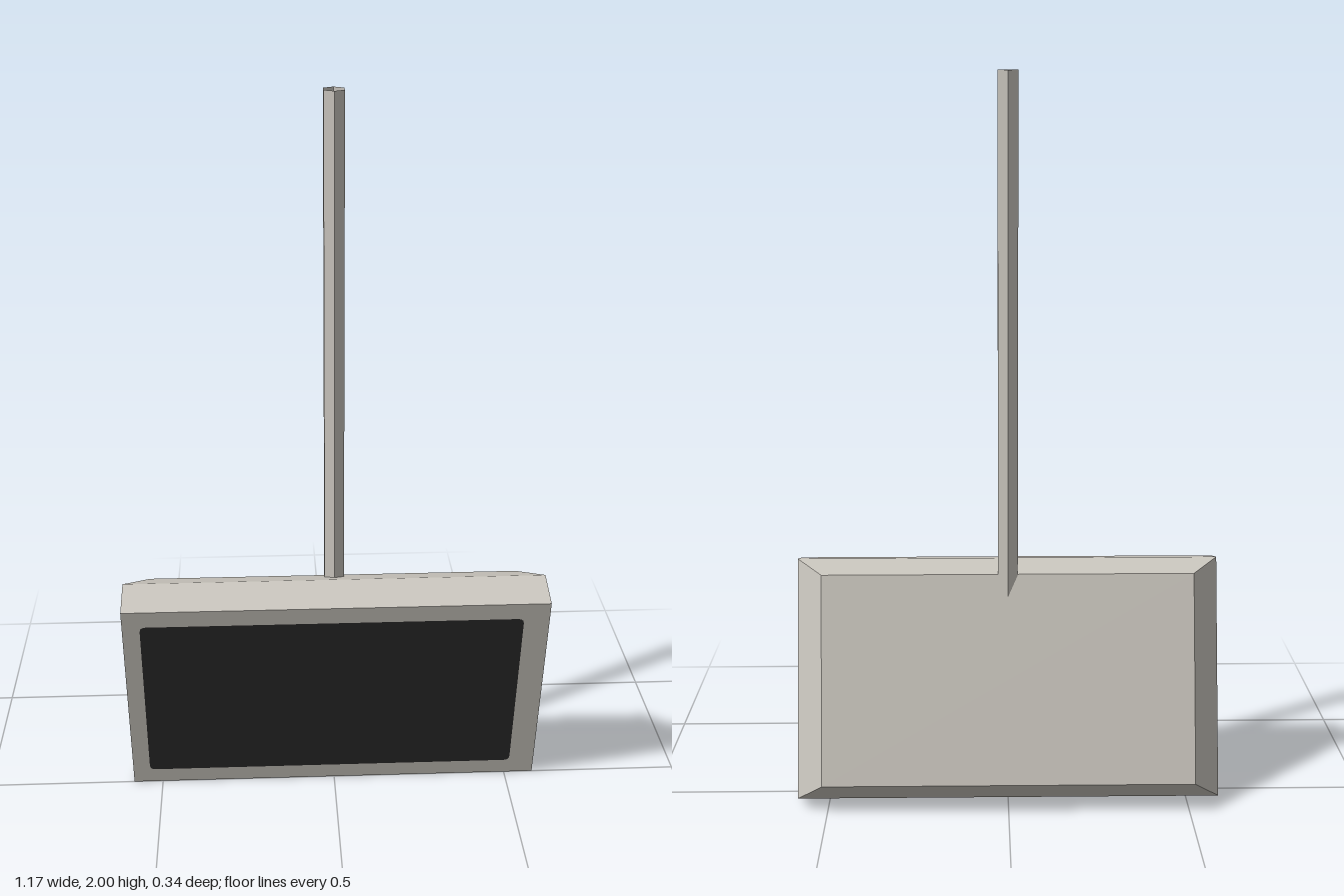
import * as THREE from 'three';

const casing = new THREE.MeshStandardMaterial({ color: 0xcac6be, flatShading: true, side: THREE.DoubleSide });
casing.name = 'warm grey casing';
const dark = new THREE.MeshStandardMaterial({ color: 0x2b2b2b });
dark.name = 'dark screen';

const W = 0.583, H = 0.663, D = 0.187; // half width, height, depth

// Box whose rear third narrows into a bevelled back
function housingGeometry() {
  const g = new THREE.BoxGeometry(2 * W, H, D, 1, 1, 2).toNonIndexed();
  const p = g.attributes.position;
  for (let i = 0; i < p.count; i++) {
    const z = p.getZ(i);
    if (z < -0.01) {
      p.setXYZ(i, Math.sign(p.getX(i)) * 0.512, Math.sign(p.getY(i)) * (H / 2 - 0.043), -D);
    } else {
      p.setZ(i, z > 0.01 ? 0 : -0.118);
    }
  }
  g.translate(0, H / 2, 0);
  g.computeVertexNormals();
  return g;
}

// Flat panel with small rounded corners
function screenGeometry(x0, x1, y0, y1, r) {
  const s = new THREE.Shape();
  s.moveTo(x0 + r, y0);
  s.lineTo(x1 - r, y0).quadraticCurveTo(x1, y0, x1, y0 + r);
  s.lineTo(x1, y1 - r).quadraticCurveTo(x1, y1, x1 - r, y1);
  s.lineTo(x0 + r, y1).quadraticCurveTo(x0, y1, x0, y1 - r);
  s.lineTo(x0, y0 + r).quadraticCurveTo(x0, y0, x0 + r, y0);
  return new THREE.ShapeGeometry(s, 3);
}

export function createModel() {
  const model = new THREE.Group();
  model.name = 'hangingMonitor';

  // Monitor, tipped forward to look down
  const monitor = new THREE.Group();
  monitor.name = 'monitor';
  monitor.rotation.x = THREE.MathUtils.degToRad(15);
  const housing = new THREE.Mesh(housingGeometry(), casing);
  housing.name = 'housing';
  const screen = new THREE.Mesh(screenGeometry(-0.535, 0.512, 0.052, 0.611, 0.016), dark);
  screen.name = 'screen';
  screen.position.z = 0.002;
  monitor.add(housing, screen);

  // Open six-sided ceiling pole, leaning very slightly back
  const poleGeo = new THREE.CylinderGeometry(0.031, 0.031, 1.5, 6, 1, true);
  poleGeo.translate(0, 1.25, 0);
  const p = poleGeo.attributes.position;
  for (let i = 0; i < p.count; i++) p.setZ(i, p.getZ(i) - (p.getY(i) > 1 ? 0.01 : 0.005));
  poleGeo.computeVertexNormals();
  const pole = new THREE.Mesh(poleGeo, casing);
  pole.name = 'pole';

  model.add(monitor, pole);
  return model;
}
